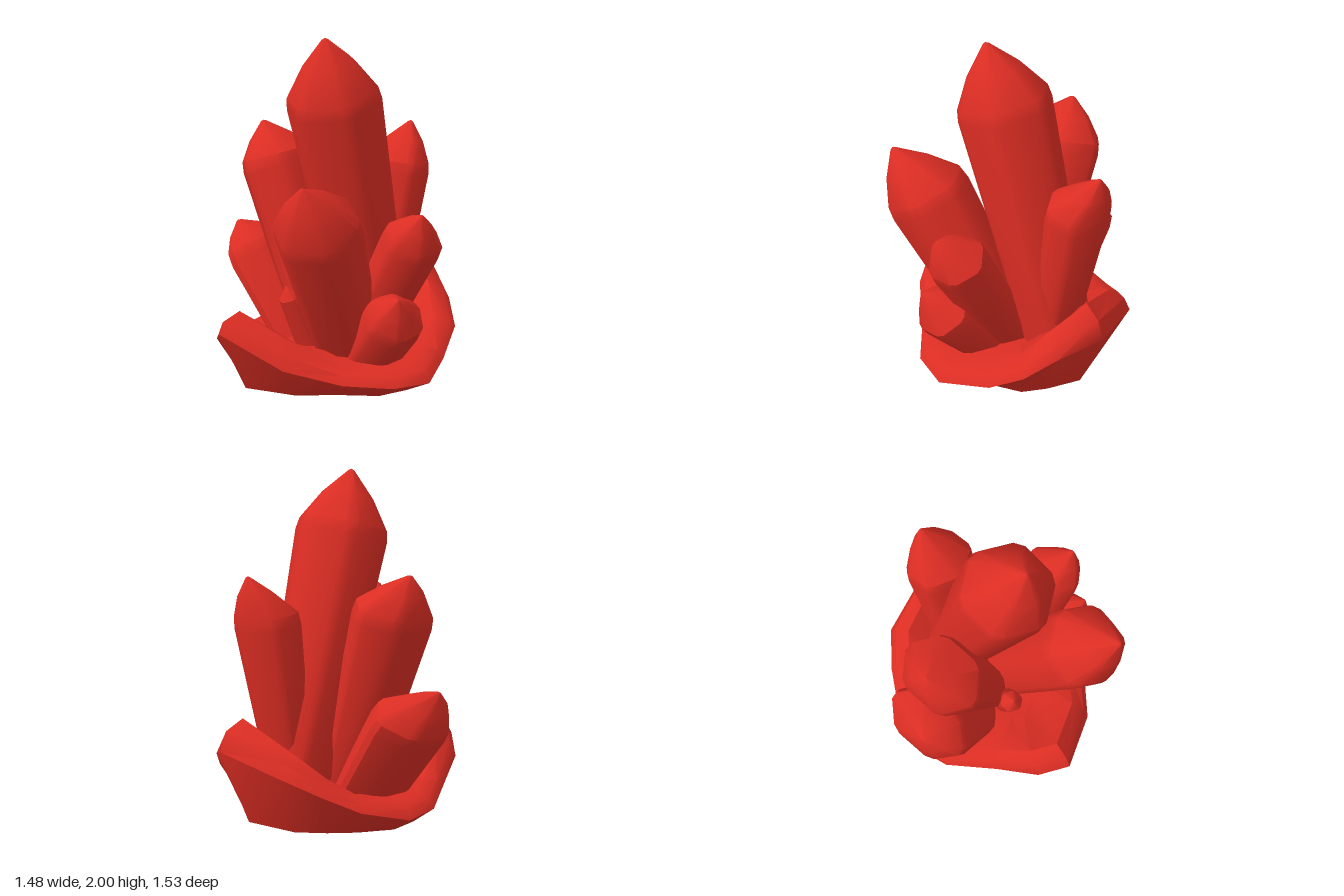
import * as THREE from 'three';
import { toCreasedNormals } from 'three/addons/utils/BufferGeometryUtils.js';

const V = (x, y, z) => new THREE.Vector3(x, y, z);

// Skin a stack of rings, lowest first, each running counterclockwise about the axis
function loft(rings, crease) {
  const n = rings[0].length;
  const index = [];
  for (let r = 0; r < rings.length - 1; r++) {
    for (let i = 0; i < n; i++) {
      const j = (i + 1) % n;
      const a = r * n + i, b = r * n + j, c = a + n, d = b + n;
      index.push(a, b, d, a, d, c);
    }
  }
  const geo = new THREE.BufferGeometry().setFromPoints(rings.flat());
  geo.setIndex(index);
  return toCreasedNormals(geo, crease);
}

// Six-sided prism with softened corners, widening to the shoulder and closing at an off-axis tip.
// ru is the half width along z, rv the half width along x.
function crystalGeometry({ base, shoulder, tip, ru, rv, taper = 0.7, turn = 0 }) {
  const b = V(...base), s = V(...shoulder), t = V(...tip);
  const axis = s.clone().sub(b).normalize();
  const u = V(0, 0, 1).addScaledVector(axis, -axis.z).normalize();
  const v = axis.clone().cross(u);
  const ring = (c, k) => {
    const pts = [];
    for (let i = 0; i < 12; i++) {
      const a = Math.floor(i / 2) * Math.PI / 3 + (i % 2 ? 0.13 : -0.13) + turn;
      pts.push(c.clone().addScaledVector(u, Math.cos(a) * ru * k).addScaledVector(v, Math.sin(a) * rv * k));
    }
    return pts;
  };
  return loft([
    ring(b, taper),
    ring(s.clone().addScaledVector(axis, -0.05), 1),
    ring(s.clone().addScaledVector(axis, 0.02), 0.96),
    ring(s.clone().lerp(t, 0.55), 0.56),
    ring(s.clone().lerp(t, 0.97), 0.07),
    ring(t, 0),
  ], 0.62);
}

// Widest outline of the rock bed: x, z, height of the widest point, height of the rim
const BED = [
  [0.74, -0.02, 0.09, 0.18], [0.66, 0.2, 0.1, 0.18], [0.44, 0.38, 0.11, 0.18], [0.2, 0.61, 0.2, 0.33],
  [-0.16, 0.76, 0.37, 0.48], [-0.31, 0.64, 0.27, 0.41], [-0.43, 0.4, 0.13, 0.2], [-0.62, 0.14, 0.1, 0.18],
  [-0.67, -0.1, 0.09, 0.18], [-0.55, -0.35, 0.15, 0.22], [-0.42, -0.52, 0.24, 0.32], [-0.25, -0.68, 0.34, 0.46],
  [0.17, -0.77, 0.43, 0.61], [0.4, -0.63, 0.36, 0.47], [0.55, -0.5, 0.25, 0.32], [0.62, -0.3, 0.12, 0.2],
];

function bedGeometry() {
  const pts = [...BED].reverse();
  const ring = (k, height) => pts.map(([x, z, mid, rim]) => V(x * k, height(mid, rim), z * k));
  return loft([
    ring(0, () => 0),
    ring(0.78, () => 0),
    ring(1, (mid) => mid),
    ring(0.95, (mid, rim) => mid + (rim - mid) * 0.65),
    ring(0.82, (mid, rim) => rim),
    ring(0.4, () => 0.17),
    ring(0, () => 0.17),
  ], 0.75);
}

const CRYSTALS = {
  mainCrystal: { base: [0.03, 0.12, -0.38], shoulder: [0.05, 1.66, 0.04], tip: [0.08, 2, 0.14], ru: 0.275, rv: 0.275, taper: 0.75 },
  backCrystal: { base: [0.05, 0.12, -0.34], shoulder: [0.07, 1.18, -0.51], tip: [0.07, 1.42, -0.64], ru: 0.18, rv: 0.21, taper: 0.65 },
  rightTallCrystal: { base: [-0.06, 0.12, -0.03], shoulder: [-0.44, 1.22, -0.01], tip: [-0.56, 1.43, 0], ru: 0.26, rv: 0.21 },
  frontCrystal: { base: [0.12, 0.14, -0.02], shoulder: [0.29, 1.02, 0.43], tip: [0.36, 1.28, 0.62], ru: 0.25, rv: 0.255, taper: 0.8 },
  leftCrystal: { base: [0.16, 0.14, -0.07], shoulder: [0.58, 0.9, -0.05], tip: [0.68, 1.07, 0], ru: 0.18, rv: 0.17, taper: 0.85 },
  leftLowCrystal: { base: [0.28, 0.1, 0], shoulder: [0.56, 0.46, 0.08], tip: [0.65, 0.61, 0.16], ru: 0.18, rv: 0.17, taper: 0.9 },
  rightLowCrystal: { base: [-0.24, 0.14, -0.03], shoulder: [-0.59, 0.63, -0.01], tip: [-0.71, 0.79, 0.08], ru: 0.28, rv: 0.19, taper: 0.85 },
  smallShard: { base: [-0.06, 0.15, 0.12], shoulder: [-0.11, 0.45, 0.23], tip: [-0.12, 0.54, 0.26], ru: 0.07, rv: 0.07, taper: 1.2 },
};

export function createModel() {
  const red = new THREE.MeshStandardMaterial({ color: 0xdb2d23 });
  red.name = 'crystal red';
  const model = new THREE.Group();
  model.name = 'crystalCluster';

  const add = (name, geometry) => {
    const mesh = new THREE.Mesh(geometry, red);
    mesh.name = name;
    model.add(mesh);
  };

  // Rock bed with raised front and back lips
  add('rockBed', bedGeometry());

  // Crystals fanning out from the bed
  for (const [name, spec] of Object.entries(CRYSTALS)) add(name, crystalGeometry(spec));

  return model;
}
